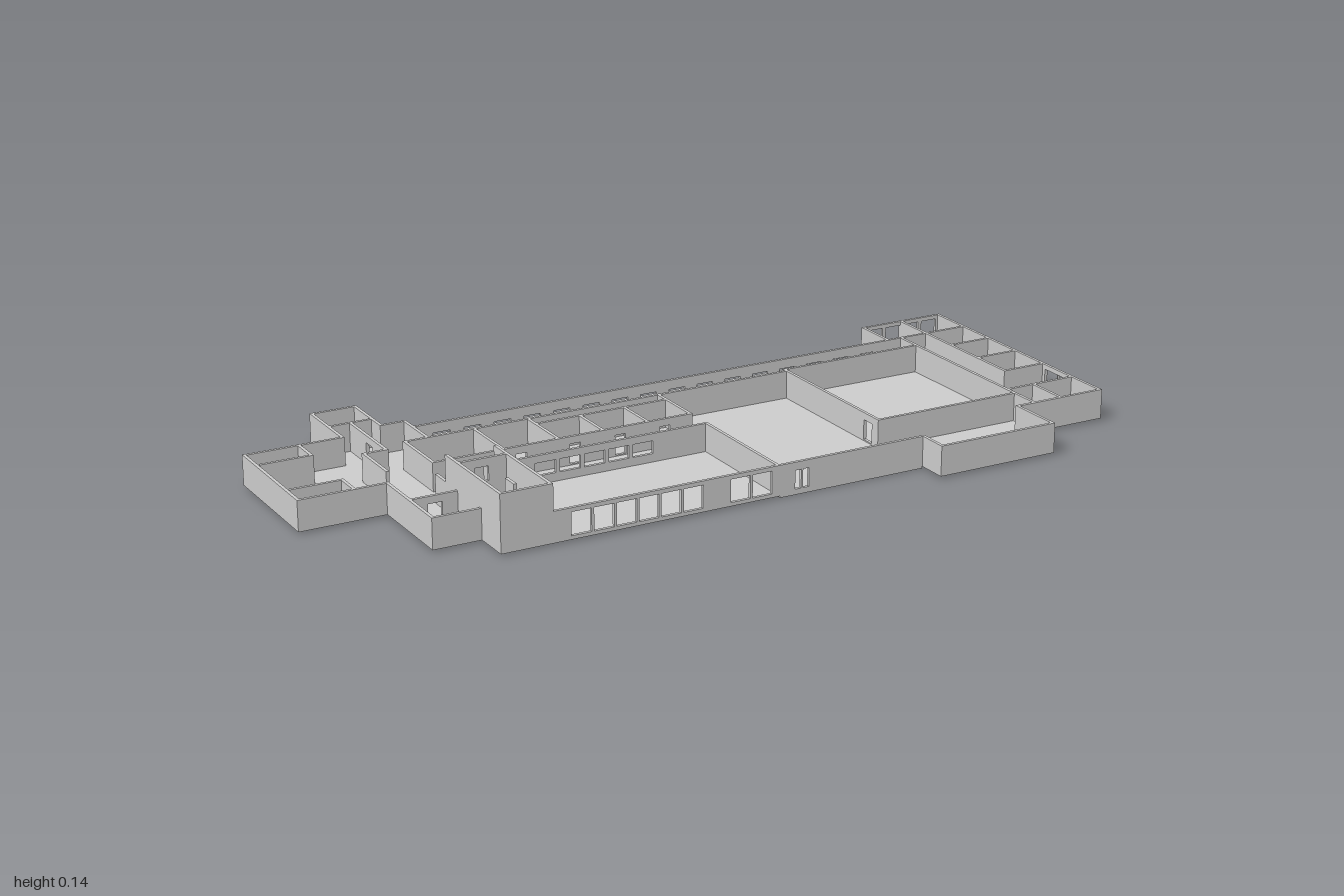
import * as THREE from 'three';

const T = 0.008;       // wall thickness
const BASE = 0.005;    // underside of the main floor
const TOP = 0.08;      // wall top
const TALL = 0.145;    // stair tower top

const material = new THREE.MeshStandardMaterial({ color: 0xcccccc, side: THREE.DoubleSide });

// Straight wall along x or z; openings are [start, end, bottom, top] in world units
function wall(group, name, x0, z0, x1, z1, openings = [], top = TOP) {
  const alongX = z0 === z1;
  const [a, b] = alongX ? [x0, x1] : [z0, z1];
  const rect = (P, u0, u1, v0, v1) => {
    const s = alongX ? 1 : -1;   // a z-wall is turned, so its local x runs along -z
    return new P([[u0, v0], [u1, v0], [u1, v1], [u0, v1]].map(([u, v]) => new THREE.Vector2(s * u, v)));
  };
  const shape = rect(THREE.Shape, a - T / 2, b + T / 2, BASE, top);
  for (const o of openings) shape.holes.push(rect(THREE.Path, ...o));
  const geo = new THREE.ExtrudeGeometry(shape, { depth: T, bevelEnabled: false });
  geo.translate(0, 0, -T / 2);
  if (!alongX) geo.rotateY(Math.PI / 2);
  geo.translate(alongX ? 0 : x0, 0, alongX ? z0 : 0);
  const mesh = new THREE.Mesh(geo, material);
  mesh.name = name;
  group.add(mesh);
}

// Evenly spaced openings
function row(start, pitch, width, count, bottom, top) {
  return Array.from({ length: count }, (_, i) => [start + i * pitch, start + i * pitch + width, bottom, top]);
}

// Horizontal slab from an outline of [x, z] points
function slab(group, name, points, y, thickness) {
  const shape = new THREE.Shape(points.map(([x, z]) => new THREE.Vector2(x, -z)));
  const geo = new THREE.ExtrudeGeometry(shape, { depth: thickness, bevelEnabled: false });
  geo.rotateX(-Math.PI / 2);
  geo.translate(0, y, 0);
  const mesh = new THREE.Mesh(geo, material);
  mesh.name = name;
  group.add(mesh);
}

function addGroup(parent, name) {
  const g = new THREE.Group();
  g.name = name;
  parent.add(g);
  return g;
}

export function createModel() {
  const model = new THREE.Group();
  model.name = 'buildingFloorPlan';

  // Floors
  const floors = addGroup(model, 'floors');
  slab(floors, 'mainFloor', [
    [-1, -0.28], [-0.757, -0.28], [-0.757, -0.467], [-0.637, -0.467], [-0.637, -0.312], [-0.576, -0.312],
    [-0.576, -0.265], [0.757, -0.265], [0.757, -0.382], [1, -0.382], [1, 0.324], [0.754, 0.324],
    [0.754, 0.464], [0.43, 0.464], [0.43, 0.386], [-0.667, 0.386], [-0.667, 0.293], [-0.786, 0.293],
    [-0.786, 0.052], [-1, 0.052],
  ], BASE, 0.004);
  slab(floors, 'loweredFloor', [[0.04, -0.18], [0.43, -0.18], [0.43, 0.386], [0.04, 0.386]], 0, BASE);

  // Outer walls
  const outer = addGroup(model, 'outerWalls');
  const frontWindows = [
    ...row(-0.495, 0.0565, 0.05, 6, 0.014, 0.07),
    ...row(-0.09, 0.057, 0.051, 2, 0.014, 0.07),
    ...row(0.08, 0.021, 0.016, 2, 0.014, 0.06),
  ];
  wall(outer, 'frontWall', -0.54, 0.383, 0.434, 0.383, frontWindows);
  wall(outer, 'backWall', -0.58, -0.261, 0.996, -0.261, row(-0.53, 0.08, 0.045, 16, 0.05, 0.056));
  wall(outer, 'rightEndWall', -0.996, -0.276, -0.996, 0.048);
  wall(outer, 'rightWingBackWall', -0.996, -0.276, -0.753, -0.276);
  wall(outer, 'rightWingFrontWall', -0.996, 0.048, -0.782, 0.048);
  wall(outer, 'rightPorchSide', -0.782, 0.048, -0.782, 0.289);
  wall(outer, 'rightPorchFront', -0.782, 0.289, -0.663, 0.289);
  wall(outer, 'backStairRightSide', -0.753, -0.463, -0.753, -0.276);
  wall(outer, 'backStairBack', -0.753, -0.463, -0.641, -0.463);
  wall(outer, 'backStairLeftSide', -0.641, -0.463, -0.641, -0.308);
  wall(outer, 'backStairStep', -0.641, -0.308, -0.58, -0.308);
  wall(outer, 'backStairReturn', -0.58, -0.308, -0.58, -0.178);
  wall(outer, 'leftWingBackWall', 0.761, -0.378, 0.996, -0.378, row(0.772, 0.056, 0.046, 4, 0.014, 0.07));
  wall(outer, 'leftWingSide', 0.761, -0.378, 0.761, -0.261);
  wall(outer, 'leftEndWall', 0.996, -0.378, 0.996, 0.32, row(0.102, 0.053, 0.05, 2, 0.012, 0.068));
  wall(outer, 'leftWingFrontWall', 0.75, 0.32, 0.996, 0.32);
  wall(outer, 'frontBayLeftSide', 0.75, 0.32, 0.75, 0.46);
  wall(outer, 'frontBayFront', 0.434, 0.46, 0.75, 0.46);
  wall(outer, 'frontBayRightSide', 0.434, 0.383, 0.434, 0.46);

  // Stair tower, open at the top
  const tower = addGroup(model, 'stairTower');
  wall(tower, 'towerRightWall', -0.663, 0.112, -0.663, 0.383, [], TALL);
  wall(tower, 'towerLeftWall', -0.542, 0.112, -0.542, 0.383, [], TALL);
  wall(tower, 'towerFrontWall', -0.663, 0.383, -0.542, 0.383, [], TALL);
  wall(tower, 'towerBackWall', -0.663, 0.168, -0.542, 0.168,
    [[-0.625, -0.59, 0.014, 0.065], [-0.625, -0.59, 0.09, 0.125]], TALL);
  wall(tower, 'towerLanding', -0.606, 0.295, -0.542, 0.295);
  wall(tower, 'towerStub', -0.606, 0.3, -0.606, 0.335, [], TALL - 0.004);

  // Large hall
  const hall = addGroup(model, 'hall');
  wall(hall, 'hallBackWall', -0.542, 0.056, 0.036, 0.056, row(-0.42, 0.064, 0.054, 5, 0.03, 0.062));
  wall(hall, 'hallLeftWall', 0.036, 0.056, 0.036, 0.383);
  wall(hall, 'hallRightWall', -0.542, 0.056, -0.542, 0.112);

  // Row of small rooms along the corridor
  const rooms = addGroup(model, 'corridorRooms');
  wall(rooms, 'corridorWall', -0.638, -0.178, 0.404, -0.178);
  wall(rooms, 'roomsFrontWall', -0.638, -0.02, 0.036, -0.02,
    [-0.43, -0.29, -0.17, -0.05].map(x => [x, x + 0.028, 0.012, 0.062]));
  wall(rooms, 'roomsInnerWall', -0.318, -0.138, 0.036, -0.138);
  for (const x of [-0.638, -0.46, -0.318, 0.036]) wall(rooms, 'roomDivider', x, -0.178, x, -0.02);
  for (const x of [-0.2, -0.08]) wall(rooms, 'roomDivider', x, -0.138, x, -0.02);

  // Large square room
  const square = addGroup(model, 'squareRoom');
  wall(square, 'squareRoomBack', 0.404, -0.19, 0.8, -0.19);
  wall(square, 'squareRoomFront', 0.404, 0.238, 0.8, 0.238);
  wall(square, 'squareRoomRight', 0.404, -0.19, 0.404, 0.238, [[0.18, 0.215, 0.012, 0.062]]);
  wall(square, 'squareRoomLeft', 0.8, -0.261, 0.8, 0.32);

  // Left wing rooms
  const left = addGroup(model, 'leftWingRooms');
  wall(left, 'leftWingSpine', 0.878, -0.378, 0.878, 0.088);
  wall(left, 'leftWingSpine', 0.878, 0.207, 0.878, 0.32);
  for (const z of [-0.148, -0.03, 0.088]) wall(left, 'leftWingDivider', 0.878, z, 0.996, z);
  wall(left, 'leftWingDivider', 0.8, 0.207, 0.996, 0.207);

  // Right wing rooms
  const right = addGroup(model, 'rightWingRooms');
  wall(right, 'closetBackSide', -0.862, -0.276, -0.862, -0.2);
  wall(right, 'closetBackFront', -0.996, -0.2, -0.862, -0.2);
  wall(right, 'closetFrontBack', -0.996, -0.02, -0.862, -0.02);
  wall(right, 'closetFrontSide', -0.862, -0.02, -0.862, 0.048);
  wall(right, 'backStairDivider', -0.753, -0.36, -0.641, -0.36);
  wall(right, 'lobbyWall', -0.697, -0.36, -0.697, -0.15, [[-0.26, -0.225, 0.012, 0.062]]);
  wall(right, 'lobbyReturn', -0.753, -0.15, -0.697, -0.15);
  wall(right, 'lobbySide', -0.753, -0.15, -0.753, -0.02);
  wall(right, 'porchDivider', -0.782, 0.168, -0.663, 0.168, [[-0.74, -0.705, 0.012, 0.062]]);
  wall(right, 'porchInnerSide', -0.663, 0.056, -0.663, 0.112);

  return model;
}
